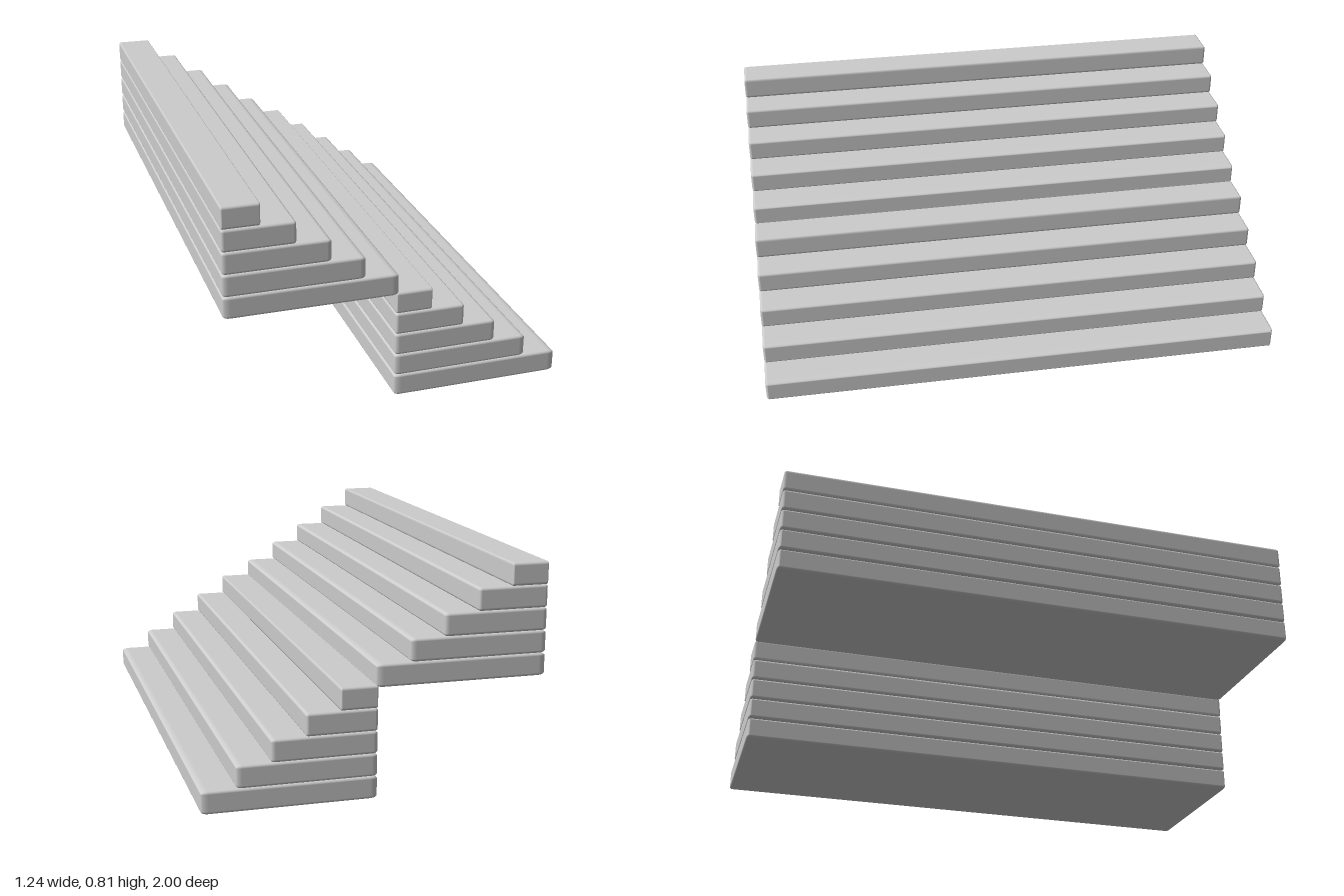
import * as THREE from 'three';
import { RoundedBoxGeometry } from 'three/addons/geometries/RoundedBoxGeometry.js';

const STEPS = 5;
const PITCH = 0.082;
const DEPTH = 2;
const TEMPLATE_WIDTH = 0.24;

// One slab: the soft edge stretches with the width, so wide treads have longer noses
function makeSlab(width, material) {
  const geometry = new RoundedBoxGeometry(TEMPLATE_WIDTH, PITCH, DEPTH, 4, 0.01);
  geometry.scale(width / TEMPLATE_WIDTH, 1, 1);
  return new THREE.Mesh(geometry, material);
}

// A flight of slabs, flush at its left edge and each shorter than the one below
function makeFlight(name, left, bottom, material) {
  const flight = new THREE.Group();
  flight.name = name;
  for (let i = 0; i < STEPS; i++) {
    const width = 0.625 - i * 0.1225;
    const slab = makeSlab(width, material);
    slab.name = `step${i + 1}`;
    slab.position.set(width / 2, (i + 0.5) * PITCH, 0);
    flight.add(slab);
  }
  flight.position.set(left, bottom, 0);
  return flight;
}

export function createModel() {
  const stone = new THREE.MeshStandardMaterial({ color: 0xcccccc });
  stone.name = 'pale grey stone';

  const model = new THREE.Group();
  model.name = 'staircase';
  model.add(makeFlight('lowerFlight', -0.004, 0, stone));
  model.add(makeFlight('upperFlight', -0.621, 0.401, stone));
  return model;
}
